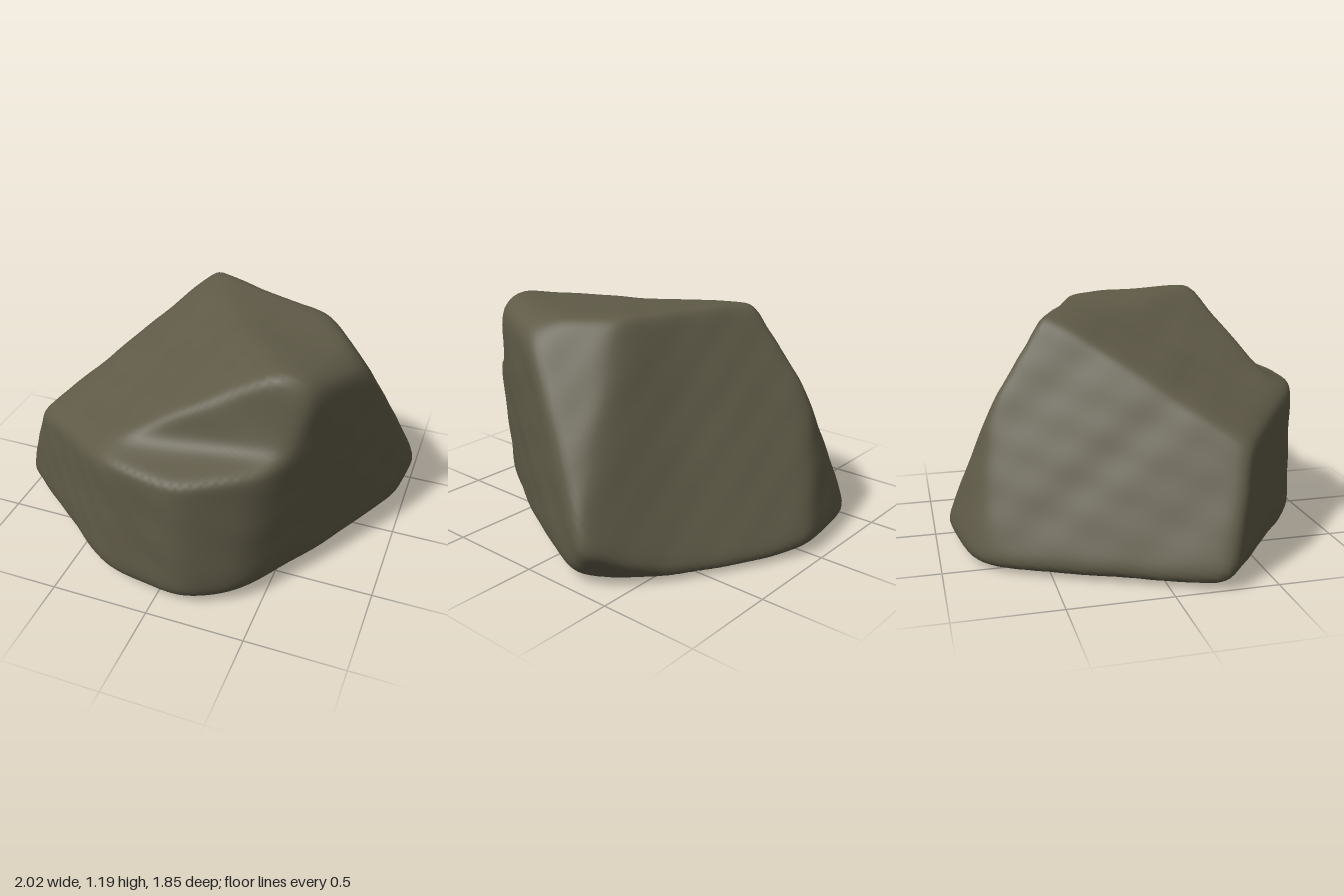
import * as THREE from 'three';
import { mergeVertices } from 'three/addons/utils/BufferGeometryUtils.js';

// Point inside the boulder from which every facet is measured
const CENTRE = new THREE.Vector3(0, 0.45, 0);

// A facet plane: unit normal and its distance from CENTRE
function facet(x, y, z, d) {
  const normal = new THREE.Vector3(x, y, z);
  const length = normal.length();
  normal.divideScalar(length);
  return { normal, dist: d / length - normal.dot(CENTRE) };
}

// Side faces as [normal x, y, z, distance]
const SIDES = [
  [0.924, 0, 0.382, 0.805], // left side
  [0.85, -0.08, 0.52, 0.745], // front left corner
  [0.479, 0, 0.878, 0.885], // front, turned left
  [-0.16, 0, 0.987, 0.9], // front
  [-0.62, 0.03, 0.785, 0.865], // front, turned right
  [-0.825, 0.42, -0.378, 0.8], // back right slope
  [-0.16, 0.25, -0.95, 0.925], // back
];

const FACETS = [
  ...SIDES.map((side) => facet(...side)),
  // worn lower edge under each side
  ...SIDES.map(([x, y, z, d]) => {
    const h = Math.hypot(x, z);
    return facet(x / h, -1.2, z / h, d / h - 0.08);
  }),
  facet(0.45, -1.2, -0.89, 0.81), // worn edge under the back left slope
  facet(0.77, -0.835, -0.64, 0.865), // undercut of the left tip
  facet(0, -1, 0, 0), // base
  facet(-0.6, 0.3, -0.75, 0.95), // blunted back right corner
  facet(0.55, 0.8, 0.1, 1.32), // top left edge
  facet(0.687, 0.518, -0.509, 1.04), // ridge down to the left tip
  facet(-0.41, 0.876, 0.25, 0.99), // sloping shoulder
];

// Pairs of facets meeting in a hollow
const HOLLOWS = [
  [facet(0, 0.98, 0.18, 0.905), facet(0.13, 0.22, 0.96, 0.845)], // ledge and wall of the front step
  [facet(0.45, 0.45, -0.8, 0.8), facet(0.26, 0.352, -0.9, 0.705)], // back left slope
  [facet(0, 1, -0.13, 1.13), facet(0, 1, 0.06, 1.137)], // dipped top
];

const SHARPNESS = 34;
const FILLET = 16;
const inverseReach = (plane, dir) => Math.max(plane.normal.dot(dir), 1e-3) / plane.dist;

// Distance to the surface, with softly rounded edges and filled hollows
function radius(dir) {
  let sum = 0;
  for (const plane of FACETS) sum += inverseReach(plane, dir) ** SHARPNESS;
  for (const [a, b] of HOLLOWS) {
    const hollow = inverseReach(a, dir) ** -FILLET + inverseReach(b, dir) ** -FILLET;
    sum += hollow ** (-SHARPNESS / FILLET);
  }
  return sum ** (-1 / SHARPNESS);
}

// Gentle weathering
const weathering = (p) =>
  0.004 * Math.sin(9 * p.x + 4 * p.y) * Math.sin(8 * p.z - 5 * p.y) +
  0.002 * Math.sin(23 * p.y + 11 * p.x) * Math.sin(19 * p.z + 7 * p.x);

export function createModel() {
  const stone = new THREE.MeshStandardMaterial({ color: 0x5f5a47 });
  stone.name = 'stone';

  let geometry = new THREE.IcosahedronGeometry(1, 44);
  geometry.deleteAttribute('uv');
  geometry.deleteAttribute('normal');
  geometry = mergeVertices(geometry, 1e-5);

  const position = geometry.attributes.position;
  const point = new THREE.Vector3();
  for (let i = 0; i < position.count; i++) {
    point.fromBufferAttribute(position, i).normalize();
    const r = radius(point);
    point.multiplyScalar(r);
    point.multiplyScalar(1 + weathering(point) / r).add(CENTRE);
    position.setXYZ(i, point.x, point.y, point.z);
  }

  // Centre it and stand it on the ground
  geometry.computeBoundingBox();
  const mid = geometry.boundingBox.getCenter(new THREE.Vector3());
  geometry.translate(-mid.x, -geometry.boundingBox.min.y, -mid.z);
  geometry.computeVertexNormals();

  const boulder = new THREE.Mesh(geometry, stone);
  boulder.name = 'boulder';
  const group = new THREE.Group();
  group.name = 'rock';
  group.add(boulder);
  return group;
}
